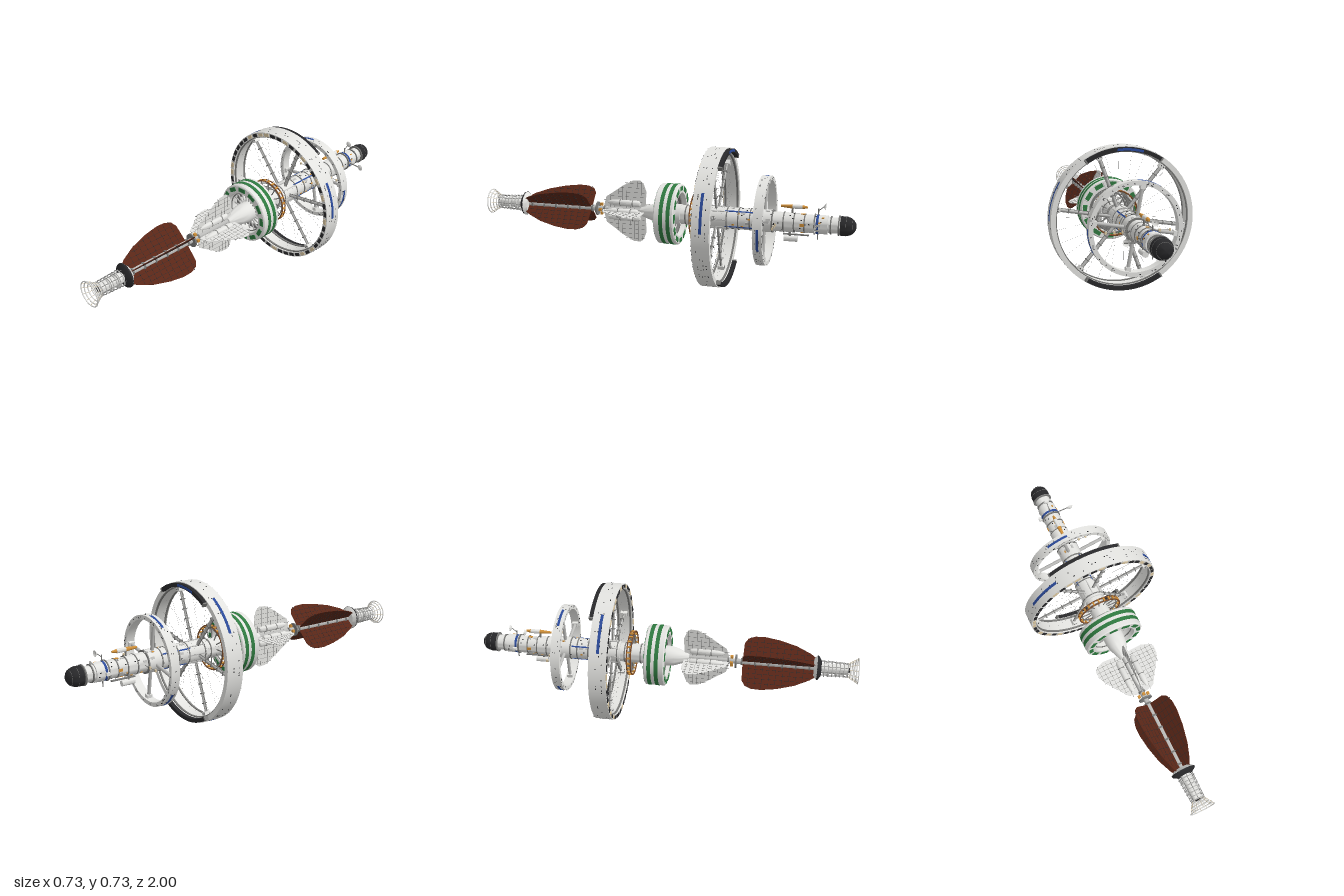
import * as THREE from 'three';
import { mergeGeometries, toCreasedNormals } from 'three/addons/utils/BufferGeometryUtils.js';

const colours = {
  white: 0xe4e4e1, panelGrey: 0xbcbcba, steel: 0x7c7c7a, dark: 0x29292b, green: 0x2f7a40,
  blue: 0x2b4a9a, tan: 0xdcc9a4, rust: 0x5a2617, orange: 0xd0903a, brown: 0x7a4a2a,
};
const TAU = Math.PI * 2, deg = Math.PI / 180;

export function createModel() {
  const mats = {};
  for (const [name, color] of Object.entries(colours)) {
    mats[name] = new THREE.MeshStandardMaterial({ color, side: THREE.DoubleSide });
    mats[name].name = name;
  }
  const root = new THREE.Group();
  root.name = 'spaceStation';
  const ship = new THREE.Group();
  ship.name = 'ship';
  ship.position.y = 0.3625;
  root.add(ship);

  // --- helpers: the long axis is z ---
  const add = (name, mat, geos) => {
    const list = [].concat(geos).map(g => (g.index ? g.toNonIndexed() : g));
    const mesh = new THREE.Mesh(list.length > 1 ? mergeGeometries(list) : list[0], mats[mat]);
    mesh.name = name;
    ship.add(mesh);
  };
  const many = (n, f) => Array.from({ length: n }, (_, i) => f(i, (i / n) * TAU));
  const turned = (profile, seg = 32, start = 0, len = TAU) => toCreasedNormals(
    new THREE.LatheGeometry(profile.map(p => new THREE.Vector2(p[0], p[1])), seg, start + Math.PI / 2, len)
      .rotateX(Math.PI / 2), 0.6);
  const ring = (ri, ro, z0, z1, seg = 64, start, len) =>
    turned([[ro, z0], [ro, z1], [ri, z1], [ri, z0], [ro, z0]], seg, start, len);
  const drum = (r, z0, z1, r1 = r, seg = 32) => turned([[0, z0], [r, z0], [r1, z1], [0, z1]], seg);
  const hoop = (r, t, z, seg = 40) => new THREE.TorusGeometry(r, t, 6, seg).translate(0, 0, z);
  const block = (radial, across, along, r, a, z) =>
    new THREE.BoxGeometry(radial, across, along).translate(r, 0, z).rotateZ(a);
  const box = (w, h, d, x, y, z) => new THREE.BoxGeometry(w, h, d).translate(x, y, z);
  const polar = (r, a, z) => new THREE.Vector3(r * Math.cos(a), r * Math.sin(a), z);
  const V = (x, y, z) => new THREE.Vector3(x, y, z);
  const rod = (p, q, t, sides = 6) => {
    const d = q.clone().sub(p);
    const g = new THREE.CylinderGeometry(t, t, d.length(), sides);
    g.applyQuaternion(new THREE.Quaternion().setFromUnitVectors(V(0, 1, 0), d.normalize()));
    const m = p.clone().add(q).multiplyScalar(0.5);
    return g.translate(m.x, m.y, m.z);
  };
  const fin = (outline, thick, a) => new THREE.ExtrudeGeometry(
    new THREE.Shape(outline.map(p => new THREE.Vector2(p[0], p[1]))), { depth: thick, bevelEnabled: false })
    .translate(0, 0, -thick / 2).rotateX(Math.PI / 2).rotateZ(a);
  let seed = 7;
  const rand = () => (seed = (seed * 16807) % 2147483647) / 2147483647;

  // --- great wheel ---
  add('greatWheelRim', 'white', ring(0.337, 0.362, -0.335, -0.245, 96));
  add('greatWheelInnerRails', 'steel', [ring(0.332, 0.337, -0.262, -0.252, 96), ring(0.332, 0.337, -0.33, -0.32, 96)]);
  const tanSlots = [2, 3, 5, 11, 12, 15, 17, 19, 24, 29, 31, 36, 39, 41, 44, 47];
  const slot = i => block(0.017, 0.031, 0.004, 0.349, (88.7 + i * 7.5) * deg, -0.244);
  const slots = many(48, i => i);
  add('greatWheelDarkPanels', 'dark', slots.filter(i => !tanSlots.includes(i)).map(slot));
  add('greatWheelTanPanels', 'tan', slots.filter(i => tanSlots.includes(i)).map(slot));
  add('greatWheelSeams', 'panelGrey', many(48, i => block(0.025, 0.003, 0.003, 0.3495, (92.4 + i * 7.5) * deg, -0.2445)));
  add('greatWheelStripes', 'blue', [0, 120, 240].map(a => ring(0.361, 0.3634, -0.297, -0.283, 16, a * deg, 32 * deg)));
  add('greatWheelBackArcs', 'dark', [57, 237].map(a => ring(0.338, 0.358, -0.356, -0.334, 24, a * deg, 66 * deg)));
  add('greatWheelArcEnds', 'steel', [57, 123, 237, 303].map(a => block(0.022, 0.008, 0.024, 0.348, a * deg, -0.346)));
  add('greatWheelArcStripe', 'blue', ring(0.342, 0.354, -0.3575, -0.355, 12, 84 * deg, 22 * deg));
  add('greatWheelWindows', 'dark', many(120, () =>
    block(0.002, 0.006, 0.004, 0.3617, rand() * TAU, -0.268 - Math.floor(rand() * 4) * 0.015)));

  const spokeAngles = many(6, (i, a) => a + 9.8 * deg);
  add('greatWheelSpokes', 'panelGrey', spokeAngles.map(a => rod(polar(0.05, a, -0.29), polar(0.335, a, -0.29), 0.0075, 10)));
  add('greatWheelSpokeRails', 'steel', spokeAngles.flatMap(a => [-1, 1].flatMap(s => [
    block(0.27, 0.003, 0.004, 0.19, a, -0.29).translate(-s * 0.008 * Math.sin(a), s * 0.008 * Math.cos(a), 0),
    ...many(4, i => block(0.005, 0.02, 0.02, 0.12 + i * 0.05, a, -0.29))])));
  add('greatWheelSpokeFeet', 'white', spokeAngles.map(a => block(0.022, 0.026, 0.036, 0.324, a, -0.29)));
  add('greatWheelFootPorts', 'dark', spokeAngles.flatMap(a => [-1, 1].map(s => block(0.005, 0.005, 0.038, 0.324, a + s * 0.02, -0.29))));
  add('greatWheelStays', 'steel', many(30, (i, a) =>
    rod(polar(0.055, a + 0.1, i % 2 ? -0.25 : -0.33), polar(0.337, a + 0.06, -0.29), 0.00025, 3)));

  // --- small wheel ---
  add('smallWheelRim', 'white', ring(0.208, 0.23, -0.565, -0.518, 80));
  add('smallWheelStripes', 'blue', [-28, 92, 212].map(a => ring(0.229, 0.2314, -0.548, -0.536, 12, a * deg, 30 * deg)));
  add('smallWheelWindows', 'dark', [
    ...many(70, () => block(0.002, 0.005, 0.004, 0.2297, rand() * TAU, -0.53 - Math.floor(rand() * 3) * 0.011)),
    ...[-0.518, -0.565].flatMap(z => many(60, () => block(0.004, 0.005, 0.002, 0.213 + rand() * 0.012, rand() * TAU, z)))]);
  const smallAngles = many(4, (i, a) => a + 10 * deg);
  add('smallWheelSpokes', 'panelGrey', smallAngles.map(a => rod(polar(0.04, a, -0.54), polar(0.21, a, -0.54), 0.009, 10)));
  add('smallWheelSpokeFeet', 'white', smallAngles.map(a => block(0.018, 0.024, 0.03, 0.199, a, -0.54)));

  // --- garden drum ---
  add('gardenDrum', 'white', turned([[0.154, -0.095], [0.159, -0.09], [0.159, 0.006], [0.154, 0.011],
    [0.114, 0.011], [0.114, -0.095], [0.154, -0.095]], 64));
  add('gardenDrumBands', 'green', [-0.067, -0.029].map(z => ring(0.157, 0.1605, z - 0.01, z + 0.01, 64)));
  add('gardenDrumPanels', 'green', [0.0115, -0.0955].flatMap(z =>
    many(12, (i, a) => block(0.022, 0.045, 0.004, 0.137, a + 3 * deg, z))));
  add('gardenDrumInnerRings', 'steel', [ring(0.1, 0.114, -0.07, -0.055), hoop(0.106, 0.003, -0.01), hoop(0.09, 0.004, -0.05)]);
  add('gardenDrumSpokes', 'panelGrey', many(20, (i, a) => rod(polar(0.045, a, -0.03), polar(0.114, a, -0.04), 0.0042)));

  // --- truss ring behind the drum ---
  add('trussRing', 'brown', [hoop(0.116, 0.0035, -0.17), hoop(0.116, 0.0035, -0.19)]);
  add('trussRingInner', 'steel', hoop(0.1, 0.003, -0.18));
  add('trussRingLugs', 'orange', many(24, (i, a) => block(0.008, 0.008, 0.02, 0.115, a, -0.18)));
  add('trussStruts', 'steel', many(12, (i, a) => rod(polar(0.05, a, -0.18), polar(0.114, a, -0.18), 0.003)));

  // --- central hull ---
  add('noseCone', 'white', turned([[0, -0.1], [0.054, -0.1], [0.054, 0.01], [0.048, 0.05], [0.032, 0.095], [0.022, 0.125], [0, 0.125]]));
  add('hullSections', 'white', [[0.05, -0.25, -0.1], [0.058, -0.36, -0.24], [0.056, -0.505, -0.36], [0.058, -0.58, -0.51],
    [0.05, -0.69, -0.585], [0.046, -0.79, -0.695], [0.048, -0.86, -0.797], [0.04, -0.92, -0.86]].map(s => drum(...s)));
  add('hullCollars', 'steel', [[0.06, -0.255], [0.06, -0.35], [0.059, -0.41], [0.058, -0.47], [0.06, -0.507], [0.06, -0.583],
    [0.052, -0.64], [0.05, -0.692], [0.049, -0.745], [0.052, -0.795], [0.046, -0.875], [0.052, -0.915], [0.053, -0.13], [0.053, -0.215]]
    .map(([r, z]) => drum(r, z - 0.003, z + 0.003)));
  const hullSpot = (radial, across, along) => {
    const z = -0.37 - rand() * 0.48;
    const r = z > -0.505 ? 0.056 : z > -0.58 ? 0.058 : z > -0.69 ? 0.05 : z > -0.79 ? 0.046 : 0.048;
    return block(radial, across, along, r, rand() * TAU, z);
  };
  add('hullWindows', 'dark', many(60, () => hullSpot(0.002, 0.005, 0.007)));
  add('hullPanels', 'panelGrey', many(30, () => hullSpot(0.002, 0.012, 0.022)));
  add('hullMarkers', 'orange', many(14, () => hullSpot(0.005, 0.007, 0.012)));
  add('hullStripes', 'blue', [drum(0.0488, -0.815, -0.803), ...many(4, (i, a) => block(0.003, 0.007, 0.16, 0.0565, a + 0.9, -0.42))]);
  add('hullRails', 'panelGrey', many(8, (i, a) => block(0.004, 0.005, 0.1, 0.059, a, -0.3)));
  add('hullHatches', 'orange', many(4, (i, a) => block(0.006, 0.014, 0.022, 0.046, a + Math.PI / 2, -0.735)));
  add('tailDome', 'dark', turned([[0, -1], [0.016, -0.997], [0.032, -0.987], [0.043, -0.973], [0.049, -0.953], [0.049, -0.922], [0, -0.918]]));
  add('tailDomeRibs', 'steel', [hoop(0.049, 0.0008, -0.95), hoop(0.038, 0.0008, -0.981)]);

  // --- docked craft and antennas ---
  add('dockedCraft', 'white', [drum(0.011, -0.73, -0.68, 0.011, 16).translate(0, 0.083, 0),
    drum(0.015, -0.71, -0.64, 0.015, 16).translate(0, -0.085, 0)]);
  add('dockedCraftEnds', 'orange', [drum(0.005, -0.755, -0.73, 0.01, 16).translate(0, 0.083, 0), drum(0.011, -0.68, -0.62, 0.006, 16).translate(0, 0.083, 0)]);
  add('dockingArms', 'steel', [rod(V(0, 0.04, -0.68), V(0, 0.075, -0.68), 0.005), rod(V(0, -0.04, -0.67), V(0, -0.1, -0.67), 0.006),
    box(0.012, 0.006, 0.13, 0, -0.062, -0.7)]);
  add('antennaBooms', 'steel', [rod(V(-0.15, 0, -0.605), V(0.16, 0, -0.605), 0.0012), rod(V(-0.065, 0, -0.81), V(0.13, 0, -0.81), 0.003),
    rod(V(0, -0.08, -0.81), V(0, 0.08, -0.81), 0.003), rod(V(0, 0.07, -0.81), V(0, 0.095, -0.84), 0.002)]);
  add('antennaPods', 'tan', [-0.15, -0.1, 0.08, 0.12, 0.16].map(x => box(0.009, 0.012, 0.009, x, 0, -0.605)));
  const dish = (x, y, z) => turned([[0.001, 0], [0.01, 0.003], [0.017, 0.01]], 16).rotateX(Math.PI).translate(x, y, z);
  add('antennaDishes', 'white', [dish(0.12, 0, -0.8), dish(0, 0.092, -0.835), box(0.014, 0.014, 0.02, -0.06, 0, -0.81)]);

  // --- pale radiator fans and tanks ---
  const fan = [[0.015, 0.1], [0.11, 0.095], [0.15, 0.11], [0.168, 0.13], [0.165, 0.17], [0.135, 0.225], [0.1, 0.275], [0.07, 0.32], [0.015, 0.335]];
  add('paleFans', 'white', many(4, (i, a) => fin(fan, 0.003, a)));
  const fanReach = z => Math.min(0.155, 0.285 - z * 0.7);
  add('paleFanRibs', 'steel', many(4, (i, a) => [
    ...many(9, k => 0.12 + k * 0.022).map(z => block(fanReach(z), 0.0042, 0.0012, fanReach(z) / 2 + 0.006, a, z)),
    ...[0.05, 0.075, 0.1, 0.125, 0.15].map(r => block(0.0012, 0.0042, 0.23 - (r - 0.05) * 1.25, r, a, 0.22 - (r - 0.05) * 0.6))]).flat());
  add('tanks', 'white', many(4, (i, a) =>
    turned([[0, 0.125], [0.012, 0.13], [0.017, 0.14], [0.017, 0.27], [0.012, 0.295], [0.006, 0.31], [0, 0.31]], 16)
      .translate(0.04, 0, 0).rotateZ(a)));
  add('tankBands', 'steel', many(4, (i, a) => [0.17, 0.24].map(z => drum(0.0185, z - 0.002, z + 0.002, 0.0185, 16)
    .translate(0.04, 0, 0).rotateZ(a))).flat());

  // --- boom and rust radiators ---
  add('boom', 'panelGrey', drum(0.014, 0.12, 0.8, 0.014, 12));
  add('boomRings', 'steel', [0.33, 0.37, 0.4, 0.47, 0.54, 0.61, 0.68, 0.75].map((z, i) => drum(i === 1 ? 0.036 : 0.019, z - 0.004, z + 0.004, undefined, 16)));
  add('boomValves', 'orange', many(4, (i, a) => block(0.014, 0.014, 0.014, 0.024, a, 0.348)));
  const leaf = [[0.012, 0.405], [0.1, 0.408], [0.126, 0.425], [0.14, 0.46], [0.142, 0.51], [0.13, 0.59], [0.105, 0.68], [0.07, 0.755], [0.045, 0.79], [0.012, 0.79]];
  add('rustRadiators', 'rust', many(4, (i, a) => fin(leaf, 0.003, a + Math.PI / 4)));
  const leafReach = z => Math.min(0.125, 0.125 - (z - 0.55) * 0.3);
  add('rustRadiatorSeams', 'dark', many(4, (i, a) => [
    ...many(9, k => 0.44 + k * 0.035).map(z => block(leafReach(z), 0.004, 0.0014, leafReach(z) / 2 + 0.012, a + Math.PI / 4, z)),
    ...[[0.035, 0.37], [0.06, 0.33], [0.085, 0.28], [0.11, 0.22]].map(([r, l]) => block(0.0014, 0.004, l, r, a + Math.PI / 4, 0.42 + l / 2))]).flat());

  // --- engine and open nozzle ---
  add('engineCollar', 'white', drum(0.045, 0.772, 0.789, 0.064));
  add('engineShield', 'dark', turned([[0, 0.788], [0.064, 0.788], [0.062, 0.796], [0.04, 0.81], [0, 0.81]]));
  add('engineCore', 'white', [drum(0.026, 0.81, 0.945), drum(0.038, 0.835, 0.85), drum(0.035, 0.88, 0.892)]);
  add('engineHoops', 'panelGrey', [0.825, 0.845, 0.865, 0.885, 0.905, 0.925, 0.945].map((z, i) => hoop(0.042 - i * 0.001, 0.0026, z, 32)));
  add('engineRods', 'steel', many(8, (i, a) => rod(polar(0.04, a, 0.81), polar(0.036, a, 0.95), 0.0015)));
  add('engineThroat', 'dark', drum(0.017, 0.93, 0.955, 0.013));
  add('nozzleHoops', 'white', [[0.04, 0.957], [0.048, 0.971], [0.057, 0.985], [0.065, 0.9972]].map(([r, z]) => hoop(r, 0.0028, z)));
  add('nozzleStruts', 'tan', many(12, (i, a) => rod(polar(0.036, a, 0.948), polar(0.065, a, 0.997), 0.001, 5)));

  return root;
}
